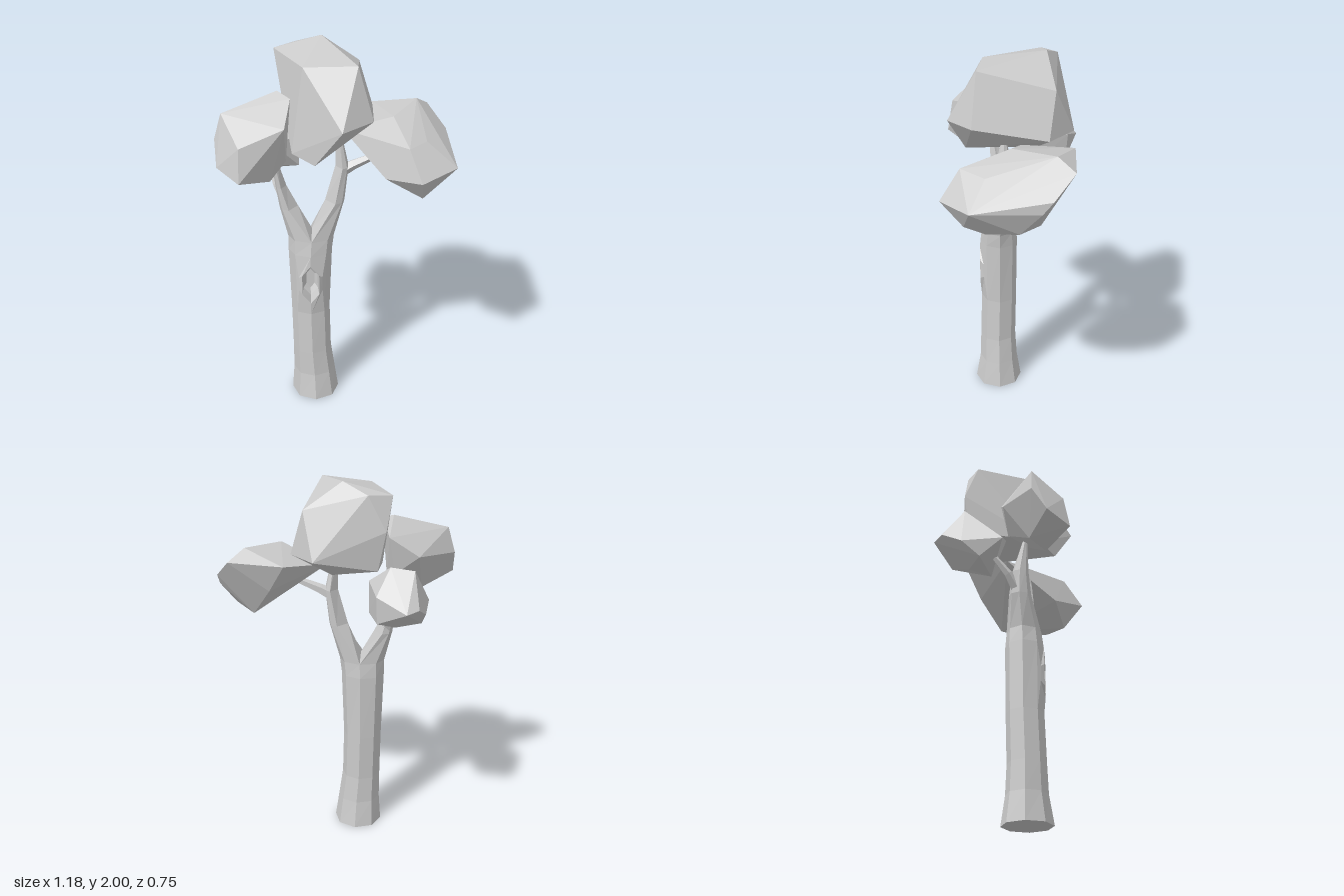
import * as THREE from 'three';
import { ConvexGeometry } from 'three/addons/geometries/ConvexGeometry.js';

const material = new THREE.MeshStandardMaterial({ color: 0xcccccc, flatShading: true });
const V = (x, y, z) => new THREE.Vector3(x, y, z);
const DEG = Math.PI / 180;

// Collects flat faces into one geometry; corners run counter-clockwise
class Faces {
  constructor() { this.pos = []; }
  add(...p) {
    for (let i = 1; i + 1 < p.length; i++)
      for (const q of [p[0], p[i], p[i + 1]]) this.pos.push(q.x, q.y, q.z);
  }
  // Joins two rings, skipping the given columns
  bridge(a, b, skip = []) {
    a.forEach((p, i) => {
      const j = (i + 1) % a.length;
      if (!skip.includes(i)) this.add(p, a[j], b[j], b[i]);
    });
  }
  loft(rings) {
    for (let i = 0; i + 1 < rings.length; i++) this.bridge(rings[i], rings[i + 1]);
    this.add(...rings[rings.length - 1]);
  }
  mesh(name) {
    const g = new THREE.BufferGeometry();
    g.setAttribute('position', new THREE.Float32BufferAttribute(this.pos, 3));
    g.computeVertexNormals();
    const m = new THREE.Mesh(g, material);
    m.name = name;
    return m;
  }
}

// Ring around a centre; angles in degrees run from +z towards +x
const OCT = [0, 45, 90, 135, 180, 225, 270, 315];
function ring([x, y, z, rx, rz = rx], angles = OCT, dir = V(0, 1, 0)) {
  const q = new THREE.Quaternion().setFromUnitVectors(V(0, 1, 0), dir.clone().normalize());
  return angles.map(a => V(Math.sin(a * DEG) * rx, 0, Math.cos(a * DEG) * rz)
    .applyQuaternion(q).add(V(x, y, z)));
}

// Thin tapering twig through a few [x, y, z, radius] points
function twig(name, pts) {
  const f = new Faces();
  f.loft(pts.map((p, i) => {
    const a = pts[Math.max(i - 1, 0)], b = pts[Math.min(i + 1, pts.length - 1)];
    return ring(p, [0, 72, 144, 216, 288], V(b[0] - a[0], b[1] - a[1], b[2] - a[2]));
  }));
  return f.mesh(name);
}

function buildTrunk() {
  const f = new Faces();
  const rings = [
    [-0.117, 0, 0.077, 0.13], [-0.122, 0.15, 0.076, 0.114, 0.106],
    [-0.132, 0.3, 0.077, 0.104, 0.099], [-0.137, 0.56, 0.07, 0.103, 0.097],
    [-0.135, 0.92, 0.069, 0.115, 0.1], [-0.13, 1.0, 0.067, 0.12, 0.092],
  ].map(r => ring(r));
  const HOLE = 3;
  for (let i = 0; i + 1 < rings.length; i++)
    f.bridge(rings[i], rings[i + 1], i === HOLE ? [7, 0] : []);
  f.add(...[...rings[0]].reverse());

  // Knothole: raised lens-shaped lip set into the two front columns
  const lo = rings[HOLE], hi = rings[HOLE + 1], cx = -0.137;
  const lens = [lo[0], V(cx + 0.063, 0.71, 0.155), V(cx + 0.063, 0.79, 0.157),
    hi[0], V(cx - 0.063, 0.79, 0.157), V(cx - 0.063, 0.71, 0.155)];
  f.add(lo[0], lo[1], lens[1]);
  f.add(lo[1], hi[1], lens[2], lens[1]);
  f.add(hi[1], hi[0], lens[2]);
  f.add(lo[7], lo[0], lens[5]);
  f.add(hi[7], lo[7], lens[5], lens[4]);
  f.add(hi[0], hi[7], lens[4]);
  const oval = (w, h, z) => [[0, -1], [1, -0.5], [1, 0.5], [0, 1], [-1, 0.5], [-1, -0.5]]
    .map(([u, v]) => V(cx + u * w, 0.75 + v * h, z));
  const lip = oval(0.045, 0.115, 0.174), inner = oval(0.038, 0.095, 0.12), floor = oval(0.022, 0.06, 0.1);
  f.bridge(lens, lip);
  f.bridge(lip, inner);
  f.bridge(inner, floor);
  f.add(...floor);

  // Fork: each half of the top ring plus the crotch point starts a limb
  const top = rings[rings.length - 1], crotch = V(-0.125, 1.04, 0.067);
  f.loft([[...top.slice(0, 5), crotch],
    ...[[-0.005, 1.2, 0.057, 0.05, 0.059], [0.032, 1.39, 0.05, 0.034, 0.048], [0.015, 1.56, 0.045, 0.015]]
      .map(r => ring(r, [0, 45, 90, 135, 180, 270]))]);
  f.loft([[...top.slice(4), top[0], crotch],
    ...[[-0.243, 1.17, 0.057, 0.048, 0.058], [-0.28, 1.29, 0.062, 0.028, 0.042], [-0.31, 1.45, 0.09, 0.014]]
      .map(r => ring(r, [180, 225, 270, 315, 360, 450]))]);
  return f.mesh('trunk');
}

// Faceted leaf clumps, each the hull of a few corners
const CLUMPS = {
  topFoliage: [
    [-0.06, 2, -0.17], [-0.3, 1.94, -0.165], [-0.19, 1.95, -0.237], [-0.16, 1.94, 0.14],
    [0.1, 1.955, 0.18], [0.13, 1.86, -0.2], [0.065, 1.63, -0.3], [0.2, 1.63, -0.165], [0.175, 1.69, 0.21],
    [0.02, 1.68, 0.325], [-0.11, 1.477, 0.237], [-0.22, 1.51, 0.16], [-0.28, 1.78, -0.24],
    [-0.24, 1.58, -0.22], [0, 1.52, -0.12]],
  leftFoliage: [
    [0.43, 1.656, -0.18], [0.29, 1.64, 0.025], [0.443, 1.56, 0.155], [0.4, 1.43, 0.37],
    [0.588, 1.45, 0.237], [0.585, 1.5, -0.15], [0.587, 1.44, -0.1], [0.497, 1.6, -0.26], [0.21, 1.6, -0.29],
    [0.04, 1.55, -0.04], [0.24, 1.39, 0.22], [0.345, 1.57, 0.27], [0.42, 1.3, 0.26], [0.47, 1.285, 0.16],
    [0.53, 1.31, 0], [0.41, 1.29, -0.11], [0.3, 1.45, -0.22]],
  rightFoliage: [
    [-0.285, 1.795, 0.05], [-0.275, 1.7, -0.04], [-0.555, 1.72, 0.145], [-0.475, 1.43, 0.33],
    [-0.47, 1.6, 0.3], [-0.253, 1.67, 0.24], [-0.222, 1.77, 0.1], [-0.25, 1.45, 0.115], [-0.33, 1.38, 0.2],
    [-0.43, 1.4, 0.12], [-0.585, 1.47, 0.22], [-0.593, 1.59, 0.145], [-0.425, 1.6, -0.015], [-0.3, 1.5, 0]],
  rearFoliage: [
    [-0.4, 1.42, -0.375], [-0.455, 1.43, -0.325], [-0.42, 1.59, -0.215], [-0.3, 1.6, -0.205],
    [-0.245, 1.48, -0.31], [-0.48, 1.375, -0.22], [-0.48, 1.38, -0.01], [-0.455, 1.295, -0.13],
    [-0.33, 1.29, -0.2], [-0.185, 1.325, -0.1], [-0.185, 1.5, -0.12], [-0.25, 1.34, -0.3], [-0.3, 1.47, -0.01]],
};

export function createModel() {
  const tree = new THREE.Group();
  tree.name = 'tree';
  tree.add(buildTrunk());
  tree.add(twig('leftTwig', [[0.03, 1.36, 0.045, 0.034], [0.09, 1.39, 0.04, 0.027], [0.24, 1.45, 0.03, 0.014]]));
  tree.add(twig('rearTwig', [[-0.25, 1.18, 0.05, 0.032], [-0.3, 1.27, 0, 0.023], [-0.345, 1.38, -0.09, 0.013]]));
  for (const [name, pts] of Object.entries(CLUMPS)) {
    const clump = new THREE.Mesh(new ConvexGeometry(pts.map(p => V(...p))), material);
    clump.name = name;
    tree.add(clump);
  }
  return tree;
}
